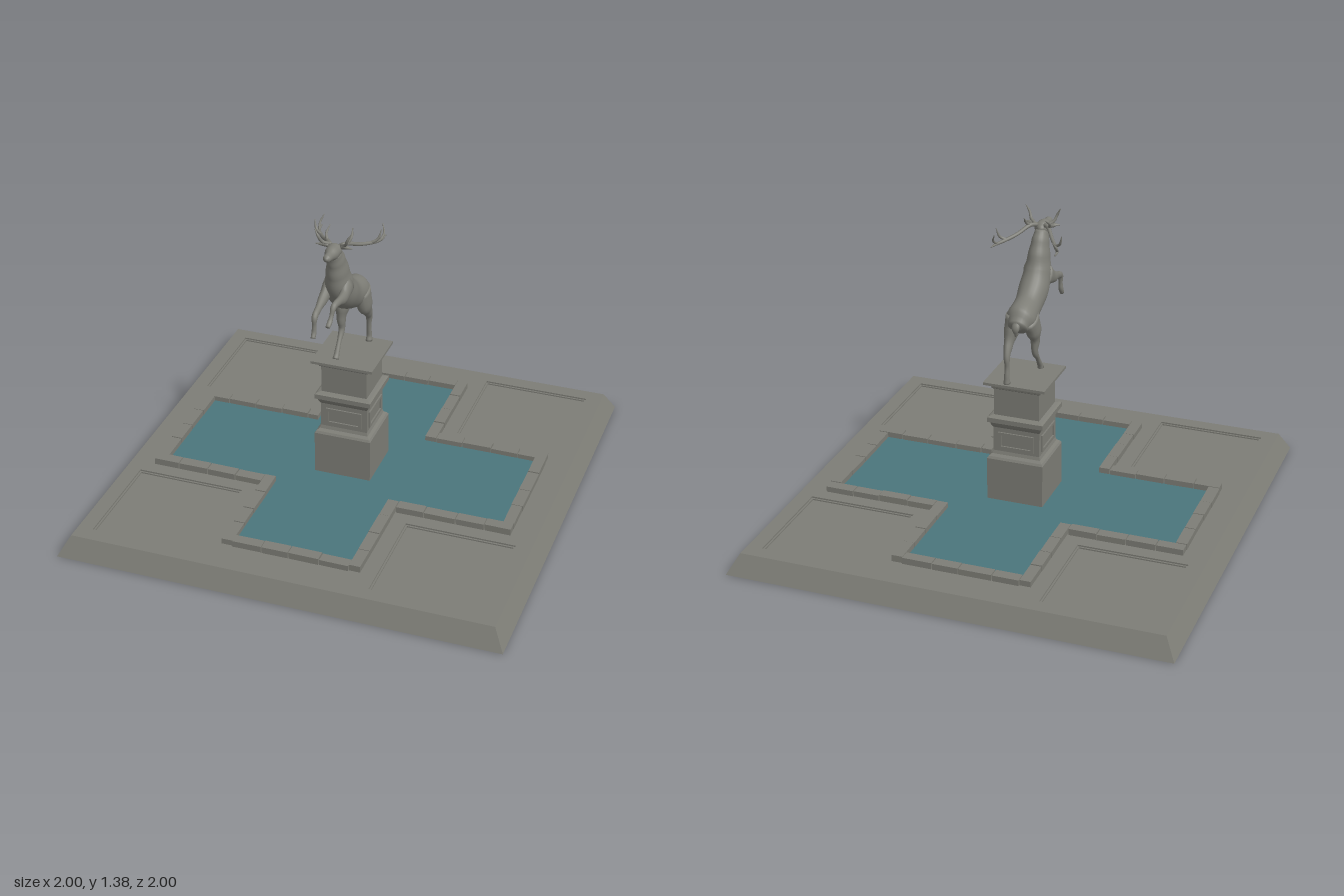
import * as THREE from 'three';

const STONE = 0x7d7d76, WATER = 0x4b757c;
const flat = new THREE.MeshStandardMaterial({ color: STONE, flatShading: true, side: THREE.DoubleSide });
const smooth = new THREE.MeshStandardMaterial({ color: STONE });
const water = new THREE.MeshStandardMaterial({ color: WATER, side: THREE.DoubleSide });

function add(parent, name, geometry, material, x = 0, y = 0, z = 0) {
  const mesh = new THREE.Mesh(geometry, material);
  mesh.name = name;
  mesh.position.set(x, y, z);
  parent.add(mesh);
  return mesh;
}

// Square solid from a profile of [half width, height]
function squareLathe(profile) {
  const pts = profile.map(([h, y]) => new THREE.Vector2(h * Math.SQRT2, y));
  return new THREE.LatheGeometry(pts, 4, Math.PI / 4);
}

// Smooth limb through points [x, y, z, half width, half depth], closed at both ends
function loft(points, radial = 14, perSpan = 4) {
  const path = new THREE.CatmullRomCurve3(points.map(p => new THREE.Vector3(p[0], p[1], p[2])));
  const n = (points.length - 1) * perSpan, pos = [], idx = [];
  for (let i = 0; i <= n; i++) {
    const t = i / n, c = path.getPoint(t), T = path.getTangent(t);
    const k = Math.min(Math.floor(i / perSpan), points.length - 2);
    let f = i / perSpan - k;
    f = f * f * (3 - 2 * f);
    const rx = THREE.MathUtils.lerp(points[k][3], points[k + 1][3], f);
    const ry = THREE.MathUtils.lerp(points[k][4] ?? points[k][3], points[k + 1][4] ?? points[k + 1][3], f);
    const side = new THREE.Vector3(1, 0, 0).addScaledVector(T, -T.x).normalize();
    const up = new THREE.Vector3().crossVectors(T, side);
    for (let j = 0; j < radial; j++) {
      const a = j / radial * Math.PI * 2;
      const v = c.clone().addScaledVector(side, Math.cos(a) * rx).addScaledVector(up, Math.sin(a) * ry);
      pos.push(v.x, v.y, v.z);
      if (i < n) {
        const p = i * radial + j, q = i * radial + (j + 1) % radial;
        idx.push(p, q, p + radial, q, q + radial, p + radial);
      }
    }
  }
  const last = n * radial, s = pos.length / 3;
  pos.push(...points[0].slice(0, 3), ...points[points.length - 1].slice(0, 3));
  for (let j = 0; j < radial; j++) {
    const j2 = (j + 1) % radial;
    idx.push(s, j2, j, s + 1, last + j, last + j2);
  }
  const g = new THREE.BufferGeometry();
  g.setAttribute('position', new THREE.Float32BufferAttribute(pos, 3));
  g.setIndex(idx);
  g.computeVertexNormals();
  return g;
}

const rectPath = (x, y, w, h, Type = THREE.Path) => new Type([[-w, -h], [w, -h], [w, h], [-w, h]]
  .map(([a, b]) => new THREE.Vector2(x + a, y + b)));

function crossPath(Type, ex, ez, i) {
  return new Type([[i, ez], [i, i], [ex, i], [ex, -i], [i, -i], [i, -ez],
    [-i, -ez], [-i, -i], [-ex, -i], [-ex, i], [-i, i], [-i, ez]].map(([x, y]) => new THREE.Vector2(x, y)));
}

function buildBase() {
  const g = new THREE.Group();
  g.name = 'base';
  add(g, 'slopedSides', squareLathe([[1, 0], [0.95, 0.09]]), flat);
  const top = rectPath(0, 0, 0.95, 0.95, THREE.Shape);
  top.holes.push(crossPath(THREE.Path, 0.8, 0.76, 0.28));
  for (const x of [-1, 1]) for (const z of [-1, 1]) {
    top.holes.push(rectPath(x * 0.633, z * 0.633, 0.248, 0.248));
    add(g, 'sunkenPanel', squareLathe([[0, 0.077], [0.24, 0.077], [0.24, 0.083], [0.248, 0.083], [0.248, 0.09]]),
      flat, x * 0.633, 0, z * 0.633);
  }
  add(g, 'paving', new THREE.ShapeGeometry(top).rotateX(-Math.PI / 2), flat, 0, 0.09, 0);
  const pool = new THREE.ShapeGeometry(crossPath(THREE.Shape, 0.8, 0.76, 0.28));
  add(g, 'poolWater', pool.rotateX(-Math.PI / 2), water, 0, 0.094, 0);
  return g;
}

// Rows of slightly uneven kerb stones around the cross-shaped pool
function buildKerb() {
  const g = new THREE.Group();
  g.name = 'poolKerb';
  let seed = 7;
  const rand = () => (seed = (seed * 16807) % 2147483647) / 2147483647 - 0.5;
  function row(alongX, from, to, across, count) {
    const cuts = [];
    for (let i = 0; i <= count; i++) cuts.push(from + (to - from) * i / count + (i % count ? rand() * 0.02 : 0));
    for (let i = 0; i < count; i++) {
      const len = Math.abs(cuts[i + 1] - cuts[i]) - 0.004, mid = (cuts[i] + cuts[i + 1]) / 2;
      const h = 0.033 + rand() * 0.005, w = 0.05 + rand() * 0.004;
      const box = new THREE.BoxGeometry(alongX ? len : w, h, alongX ? w : len);
      const stone = add(g, 'kerbStone', box, flat, alongX ? mid : across, 0.085 + h / 2, alongX ? across : mid);
      stone.rotation.y = rand() * 0.02;
    }
  }
  for (const s of [-1, 1]) {
    row(true, -0.265, 0.265, s * 0.77, 4);
    row(false, -0.27, 0.27, s * 0.815, 4);
    for (const t of [-1, 1]) {
      row(false, s * 0.27, s * 0.79, t * 0.29, 4);
      row(true, t * 0.317, t * 0.84, s * 0.295, 4);
    }
  }
  return g;
}

function buildPedestal() {
  const g = new THREE.Group();
  g.name = 'pedestal';
  add(g, 'pedestalBlock', squareLathe([[0, 0.086], [0.131, 0.086], [0.131, 0.295], [0.125, 0.305], [0.113, 0.315], [0.108, 0.33],
    [0.108, 0.445], [0.114, 0.455], [0.12, 0.47], [0.13, 0.475], [0.13, 0.497], [0.122, 0.502], [0.106, 0.506],
    [0.106, 0.632], [0.113, 0.637], [0.116, 0.65], [0.128, 0.657], [0.143, 0.66], [0.143, 0.672], [0, 0.672]]), flat);
  const frame = rectPath(0, 0, 0.083, 0.04, THREE.Shape);
  frame.holes.push(rectPath(0, 0, 0.07, 0.027));
  for (let i = 0; i < 4; i++) {
    const geo = new THREE.ExtrudeGeometry(frame, { depth: 0.008, bevelEnabled: false });
    geo.translate(0, 0.384, 0.107).rotateY(i * Math.PI / 2);
    add(g, 'panelFrame', geo, flat);
  }
  return g;
}

function buildStag() {
  const g = new THREE.Group();
  g.name = 'stag';
  add(g, 'body', loft([
    [0, 0.925, -0.102, 0.012, 0.012], [0, 0.935, -0.088, 0.045, 0.045], [0, 0.955, -0.045, 0.066, 0.073],
    [0, 0.985, 0.04, 0.06, 0.068], [0, 1.035, 0.115, 0.066, 0.073], [0, 1.1, 0.165, 0.06, 0.073],
    [0, 1.165, 0.183, 0.049, 0.064], [0, 1.225, 0.2, 0.039, 0.05], [0, 1.265, 0.217, 0.031, 0.038],
    [0, 1.29, 0.225, 0.015, 0.018]], 24, 5), smooth);
  add(g, 'head', loft([[0, 1.285, 0.192, 0.01], [0, 1.284, 0.215, 0.033, 0.03], [0, 1.283, 0.25, 0.031, 0.031],
    [0, 1.284, 0.288, 0.019, 0.021], [0, 1.287, 0.313, 0.017, 0.017], [0, 1.288, 0.326, 0.006]], 18), smooth);
  add(g, 'tail', loft([[0, 0.965, -0.09, 0.018], [0, 0.94, -0.115, 0.018, 0.012], [0, 0.9, -0.112, 0.004]]), smooth);

  // Hind legs, one stepping back and one forward
  add(g, 'leftHindLeg', loft([[0.036, 0.97, -0.03, 0.034, 0.06], [0.043, 0.9, -0.045, 0.032, 0.05],
    [0.045, 0.845, -0.08, 0.02, 0.027], [0.042, 0.8, -0.11, 0.014, 0.018], [0.04, 0.745, -0.114, 0.01, 0.011],
    [0.04, 0.7, -0.119, 0.012, 0.012], [0.04, 0.672, -0.116, 0.015, 0.018]]), smooth);
  add(g, 'rightHindLeg', loft([[-0.036, 0.96, -0.03, 0.034, 0.06], [-0.043, 0.895, -0.003, 0.032, 0.048],
    [-0.045, 0.84, 0.012, 0.02, 0.027], [-0.043, 0.785, 0.012, 0.014, 0.018], [-0.043, 0.735, 0.05, 0.01, 0.011],
    [-0.043, 0.695, 0.078, 0.012, 0.012], [-0.043, 0.673, 0.092, 0.014, 0.017]]), smooth);

  // Raised forelegs
  add(g, 'leftForeleg', loft([[0.038, 1.1, 0.165, 0.028, 0.05], [0.045, 1.075, 0.235, 0.021, 0.03],
    [0.045, 1.085, 0.3, 0.014, 0.018], [0.04, 1.083, 0.34, 0.013, 0.015], [0.037, 1.05, 0.36, 0.009, 0.01],
    [0.035, 1.027, 0.376, 0.011, 0.011], [0.035, 1.015, 0.402, 0.01, 0.008]]), smooth);
  add(g, 'rightForeleg', loft([[-0.038, 1.09, 0.165, 0.028, 0.05], [-0.045, 1.053, 0.235, 0.021, 0.028],
    [-0.045, 1.035, 0.3, 0.014, 0.017], [-0.045, 1.018, 0.342, 0.013, 0.015], [-0.045, 0.98, 0.348, 0.009, 0.01],
    [-0.045, 0.95, 0.352, 0.011, 0.011], [-0.045, 0.926, 0.367, 0.01, 0.011]]), smooth);

  // Ears and branching antlers, mirrored
  const antler = [
    [[0.018, 1.3, 0.212, 0.01], [0.042, 1.303, 0.185, 0.009], [0.08, 1.278, 0.125, 0.008],
      [0.118, 1.264, 0.065, 0.008], [0.14, 1.26, 0.02, 0.006], [0.145, 1.262, -0.022, 0.003]],
    [[0.025, 1.303, 0.208, 0.008], [0.052, 1.318, 0.228, 0.007], [0.064, 1.345, 0.24, 0.006], [0.08, 1.376, 0.236, 0.002]],
    [[0.045, 1.302, 0.182, 0.007], [0.056, 1.325, 0.165, 0.006], [0.05, 1.352, 0.13, 0.002]],
    [[0.112, 1.266, 0.074, 0.007], [0.138, 1.282, 0.062, 0.006], [0.15, 1.322, 0.05, 0.002]],
    [[0.138, 1.26, 0.028, 0.006], [0.145, 1.282, 0.002, 0.005], [0.132, 1.317, -0.02, 0.002]]];
  for (const s of [1, -1]) {
    const side = s > 0 ? 'left' : 'right';
    const flip = pts => pts.map(([x, ...rest]) => [s * x, ...rest]);
    antler.forEach((branch, i) =>
      add(g, side + (i ? 'AntlerTine' : 'AntlerBeam'), loft(flip(branch), 8), smooth));
    add(g, side + 'Ear', loft(flip([[0.02, 1.295, 0.215, 0.006, 0.006], [0.05, 1.303, 0.22, 0.013, 0.009],
      [0.082, 1.305, 0.228, 0.002, 0.002]]), 8), smooth);
  }
  return g;
}

export function createModel() {
  const model = new THREE.Group();
  model.name = 'stagFountain';
  model.add(buildBase(), buildKerb(), buildPedestal(), buildStag());
  return model;
}
